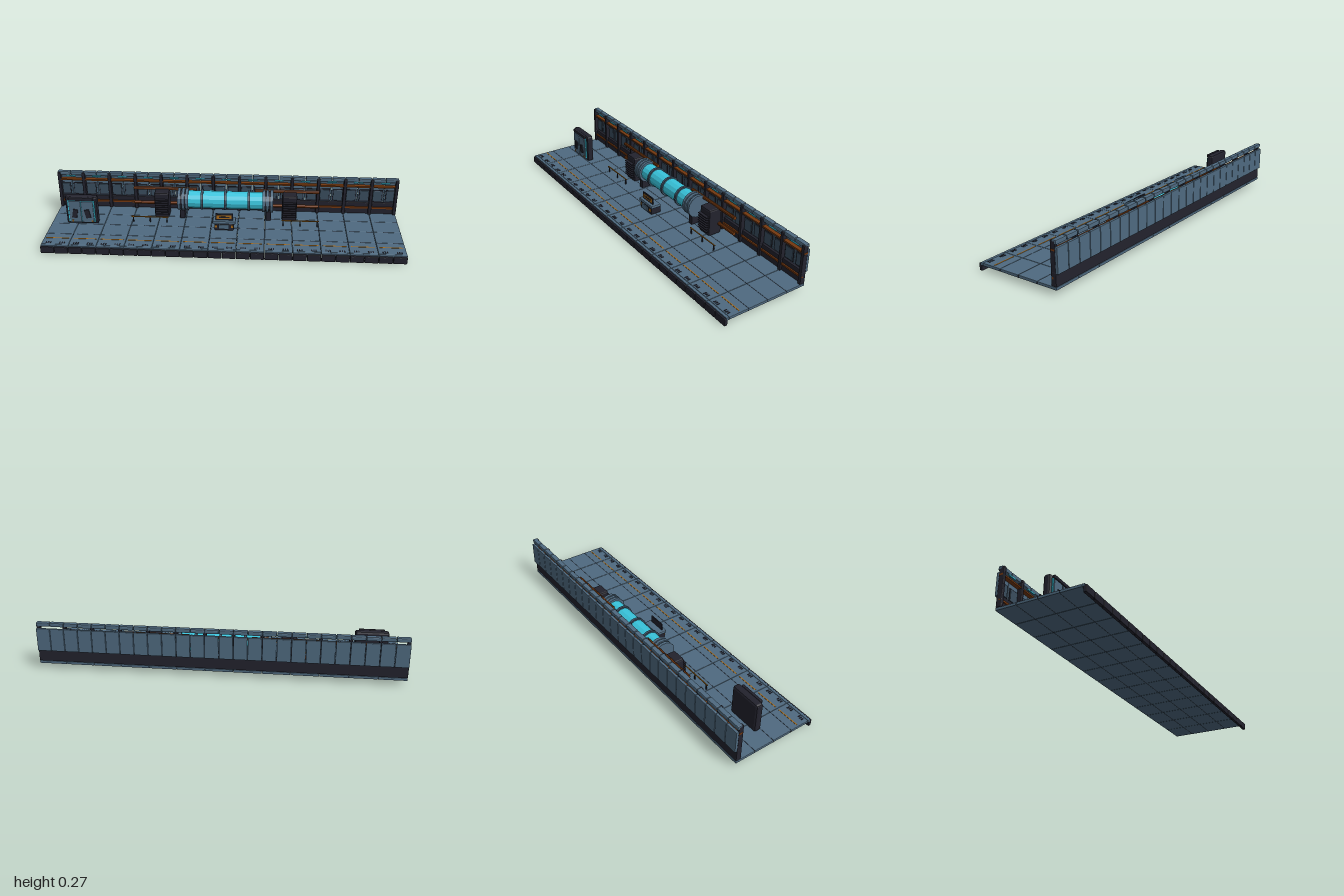
import * as THREE from 'three';
import { RoundedBoxGeometry } from 'three/addons/geometries/RoundedBoxGeometry.js';

const mat = (name, color) => {
  const m = new THREE.MeshStandardMaterial({ color, flatShading: true });
  m.name = name;
  return m;
};

export function createModel() {
  const steel = mat('blue steel', 0x4f6a80);
  const slate = mat('slate blue', 0x3a4e5f);
  const dark = mat('dark metal', 0x22222d);
  const copper = mat('copper', 0x74380f);
  const amber = mat('amber', 0xa86c1c);
  const cyan = mat('cyan glow', 0x38c4dc);

  const root = new THREE.Group();
  root.name = 'corridorSection';
  const section = (name) => {
    const g = new THREE.Group();
    g.name = name;
    root.add(g);
    return g;
  };

  // Box given by its ranges on each axis, chamfered when bevel > 0
  const box = (parent, name, m, [x0, x1], [y0, y1], [z0, z1], bevel = 0) => {
    const w = x1 - x0, h = y1 - y0, d = z1 - z0;
    const geo = bevel ? new RoundedBoxGeometry(w, h, d, 1, bevel) : new THREE.BoxGeometry(w, h, d);
    const mesh = new THREE.Mesh(geo, m);
    mesh.position.set((x0 + x1) / 2, (y0 + y1) / 2, (z0 + z1) / 2);
    mesh.name = name;
    parent.add(mesh);
    return mesh;
  };

  // Cylinder lying along x
  const rod = (parent, name, m, [x0, x1], y, z, r, sides = 12) => {
    const mesh = new THREE.Mesh(new THREE.CylinderGeometry(r, r, x1 - x0, sides), m);
    mesh.rotation.z = Math.PI / 2;
    mesh.position.set((x0 + x1) / 2, y, z);
    mesh.name = name;
    parent.add(mesh);
    return mesh;
  };

  const BAYS = 13, bay = 2 / BAYS, half = bay / 2;

  // Floor tiles, front lip, guide stripes and bolts
  const floor = section('floor');
  const rows = [[-0.24, -0.124], [-0.122, -0.006], [-0.004, 0.111], [0.113, 0.226], [0.227, 0.243]];
  for (let i = 0; i < BAYS; i++) {
    const x = -1 + i * bay;
    for (const r of rows) box(floor, 'floorTile', steel, [x + 0.0008, x + bay - 0.0008], [0.03, 0.045], r, 0.002);
    box(floor, 'guideStripe', amber, [x + 0.012, x + bay - 0.012], [0.045, 0.0465], [0.157, 0.163]);
    for (let k = 0; k < 2; k++) {
      const h = x + k * half;
      box(floor, 'frontLip', dark, [h + 0.001, h + half - 0.001], [0.0, 0.04], [0.235, 0.253], 0.004);
      for (const o of [0.026, 0.038, 0.05])
        box(floor, 'floorSlot', dark, [h + o - 0.003, h + o + 0.003], [0.045, 0.0468], [0.202, 0.219]);
    }
  }
  for (const z of [-0.123, -0.005, 0.112]) box(floor, 'floorSeam', dark, [-1, 1], [0.031, 0.0435], [z - 0.0015, z + 0.0015]);

  // Back wall: skirting, outer panels, inset panels, top rail
  const wall = section('backWall');
  for (let i = 0; i < BAYS; i++) {
    const x = -1 + i * bay;
    box(wall, 'skirting', dark, [x, x + bay], [0.045, 0.118], [-0.24, -0.222], 0.004);
    for (let k = 0; k < 2; k++) {
      const h = x + k * half;
      box(wall, 'outerPanel', steel, [h + 0.001, h + half - 0.001], [0.11, 0.24], [-0.252, -0.237], 0.003);
      box(wall, 'topRail', steel, [h + 0.001, h + half - 0.001], [0.25, 0.273], [-0.246, -0.218], 0.005);
      const p = h + half / 2;
      box(wall, 'insetFrame', dark, [p - 0.03, p + 0.03], [0.122, 0.196], [-0.238, -0.234]);
      box(wall, 'insetPanel', slate, [p - 0.026, p + 0.026], [0.126, 0.192], [-0.236, -0.23], 0.002);
    }
    box(wall, 'railLight', cyan, [x + 0.05, x + bay - 0.05], [0.244, 0.25], [-0.223, -0.217]);
  }
  box(wall, 'upperStrip', copper, [-1, 1], [0.219, 0.228], [-0.237, -0.214]);
  box(wall, 'lowerStrip', copper, [-1, 1], [0.082, 0.092], [-0.225, -0.214]);

  // Wall ribs with a wider foot
  for (let i = 0; i <= BAYS; i++) {
    const x = Math.min(Math.max(-1 + i * bay, -0.99), 0.99);
    box(wall, 'rib', dark, [x - 0.009, x + 0.009], [0.045, 0.268], [-0.238, -0.21], 0.003);
    box(wall, 'ribFoot', dark, [x - 0.01, x + 0.01], [0.047, 0.118], [-0.24, -0.21], 0.004);
  }

  // Horizontal glowing tank with end flanges and hoops
  const tank = section('tank');
  rod(tank, 'tankGlass', cyan, [-0.235, 0.235], 0.157, -0.136, 0.052, 14);
  for (const x of [-0.135, 0, 0.135]) rod(tank, 'tankHoop', slate, [x - 0.007, x + 0.007], 0.157, -0.136, 0.061, 14);
  for (const s of [-1, 1]) {
    for (const x of [0.222, 0.243, 0.267]) {
      const c = s * x;
      rod(tank, 'tankFlange', steel, [c - 0.008, c + 0.008], 0.157, -0.136, 0.066, 14);
    }
    const c = s * 0.25;
    rod(tank, 'tankNeck', dark, [c - 0.022, c + 0.022], 0.157, -0.136, 0.058, 14);
    box(tank, 'tankFoot', dark, [c - 0.015, c + 0.015], [0.045, 0.11], [-0.17, -0.102], 0.004);
  }

  // Finned cabinets, copper pipes and low rails on both sides
  for (const s of [-1, 1]) {
    const unit = section(s > 0 ? 'leftMachine' : 'rightMachine');
    const span = (a, b) => (s > 0 ? [a, b] : [-b, -a]);
    box(unit, 'cabinet', dark, span(0.328, 0.413), [0.045, 0.203], [-0.189, -0.107], 0.009);
    for (let k = 0; k < 7; k++) {
      const y = 0.076 + k * 0.0145;
      box(unit, 'coolingFin', dark, span(0.333, 0.408), [y - 0.0025, y + 0.0025], [-0.11, -0.09]);
    }
    for (const y of [0.203, 0.108]) rod(unit, 'copperPipe', copper, span(0.17, 0.54), y, -0.173, 0.01, 10);
    box(unit, 'lowRail', amber, span(0.325, 0.54), [0.077, 0.082], [-0.05, -0.045]);
    for (const x of [0.335, 0.4325, 0.53])
      box(unit, 'railPost', dark, span(x - 0.003, x + 0.003), [0.045, 0.078], [-0.05, -0.045]);
  }

  // Control console
  const console_ = section('console');
  box(console_, 'consoleBase', dark, [-0.055, 0.055], [0.045, 0.09], [-0.04, 0.026], 0.006);
  box(console_, 'consoleTop', steel, [-0.065, 0.065], [0.088, 0.106], [-0.032, 0.03], 0.005);
  box(console_, 'consoleScreen', dark, [-0.05, 0.05], [0.104, 0.146], [0.007, 0.013]);
  box(console_, 'screenStrip', amber, [-0.043, 0.043], [0.114, 0.137], [0.012, 0.0145]);
  box(console_, 'screenBar', dark, [-0.03, 0.03], [0.121, 0.129], [0.014, 0.016]);
  box(console_, 'consoleGrip', steel, [-0.03, 0.03], [0.06, 0.09], [0.031, 0.039], 0.003);
  box(console_, 'gripStem', dark, [-0.012, 0.012], [0.069, 0.079], [0.024, 0.033]);
  for (const x of [-0.046, 0.046]) box(console_, 'consoleButton', amber, [x - 0.007, x + 0.007], [0.065, 0.08], [0.025, 0.029]);

  // Free-standing double door locker
  const locker = section('locker');
  const cx = -0.818;
  box(locker, 'lockerBody', dark, [cx - 0.092, cx + 0.092], [0.045, 0.219], [-0.047, -0.006], 0.012);
  box(locker, 'lockerGlow', cyan, [cx - 0.076, cx + 0.076], [0.062, 0.197], [-0.008, 0]);
  for (const s of [-1, 1]) {
    const c = cx + s * 0.036;
    box(locker, 'lockerDoor', steel, [c - 0.034, c + 0.034], [0.06, 0.195], [-0.006, 0.006], 0.003);
    const slot = box(locker, 'doorSlot', dark, [c - 0.014, c + 0.014], [0.092, 0.145], [0.005, 0.0115]);
    slot.rotation.z = s * 0.2;
    box(locker, 'doorHinge', amber, [c + s * 0.02, c + s * 0.02 + 0.008], [0.066, 0.076], [0.005, 0.009]);
  }
  box(locker, 'lockerHeader', dark, [cx - 0.07, cx + 0.07], [0.199, 0.218], [-0.01, 0.006], 0.003);

  return root;
}
